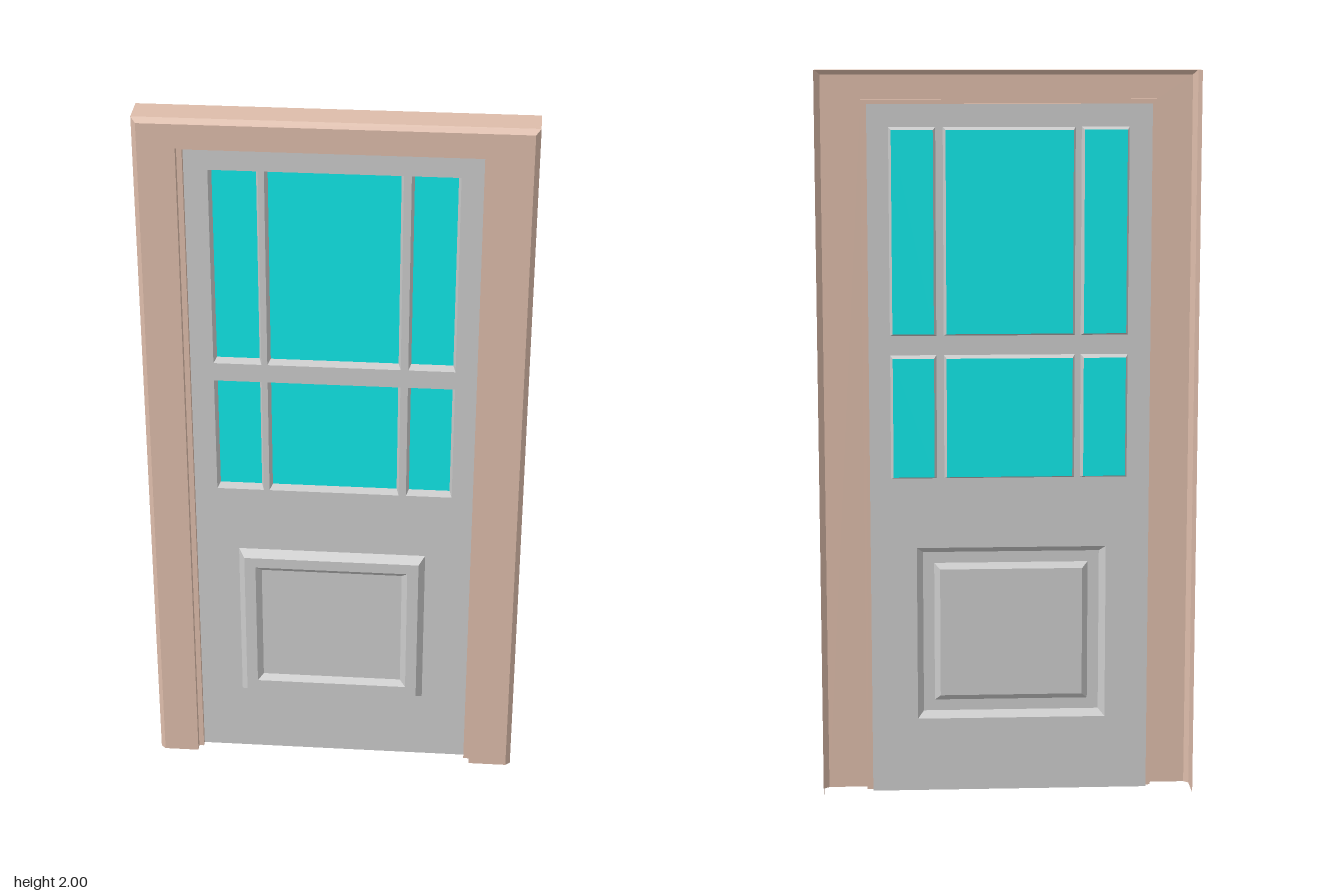
import * as THREE from 'three';

const material = (color) => new THREE.MeshStandardMaterial({ color, flatShading: true, side: THREE.DoubleSide });

// Joins successive outlines (outer to inner) with flat quads facing the front.
function loft(loops, closed) {
  const pos = [];
  for (let k = 0; k < loops.length - 1; k++) {
    const a = loops[k], b = loops[k + 1], n = a.length;
    for (let i = 0; i < (closed ? n : n - 1); i++) {
      const j = (i + 1) % n;
      for (const p of [a[i], a[j], b[j], a[i], b[j], b[i]]) pos.push(...p);
    }
  }
  const g = new THREE.BufferGeometry();
  g.setAttribute('position', new THREE.Float32BufferAttribute(pos, 3));
  g.computeVertexNormals();
  return g;
}

// Rectangle [x0, y0, x1, y1] shrunk by an inset, at depth z.
function rectLoop([x0, y0, x1, y1], inset, z) {
  const l = x0 + inset, b = y0 + inset, r = x1 - inset, t = y1 - inset;
  return [[l, b, z], [r, b, z], [r, t, z], [l, t, z]];
}

// Door-frame outline, open at the floor.
const archLoop = ([left, right, top, z]) =>
  [[right, 0, z], [right, top, z], [left, top, z], [left, 0, z]];

export function createModel() {
  const group = new THREE.Group();
  const wood = material(0xddbcaa);
  const grey = material(0xcccccc);
  const glass = material(0x10e8e8);

  const add = (name, geometry, mat) => {
    const mesh = new THREE.Mesh(geometry, mat);
    mesh.name = name;
    group.add(mesh);
    return mesh;
  };

  const doorZ = 0.01;
  const doorRect = [-0.39, 0, 0.378, 1.91];

  // Frame: outer wall, chamfer, front casing and stepped jamb
  const frameProfile = [
    [-0.515, 0.515, 2, -0.05],
    [-0.515, 0.515, 2, 0.036],
    [-0.502, 0.502, 1.987, 0.048],
    [-0.404, 0.394, 1.922, 0.048],
    [-0.404, 0.394, 1.922, 0.026],
    [-0.39, 0.378, 1.91, 0.026],
    [-0.39, 0.378, 1.91, doorZ],
  ];
  add('doorFrame', loft(frameProfile.map(archLoop), false), wood);

  // Openings in the door leaf: two rows of three panes, and one panel
  const columns = [[-0.328, -0.199], [-0.183, 0.174], [0.194, 0.32]];
  const rows = [[0.893, 1.234], [1.287, 1.849]];
  const panes = rows.flatMap(([y0, y1]) => columns.map(([x0, x1]) => [x0, y0, x1, y1]));
  const panel = [-0.272, 0.208, 0.251, 0.697];

  // Door leaf
  const toPoints = (r) => rectLoop(r, 0, 0).map(([x, y]) => new THREE.Vector2(x, y));
  const leaf = new THREE.Shape(toPoints(doorRect));
  for (const r of [...panes, panel]) leaf.holes.push(new THREE.Path(toPoints(r)));
  add('doorLeaf', new THREE.ShapeGeometry(leaf).translate(0, 0, doorZ), grey);

  // Window recesses and glass
  const glassZ = -0.014, inset = 0.007;
  for (const r of panes) {
    add('windowReveal', loft([rectLoop(r, 0, doorZ), rectLoop(r, inset, glassZ)], true), grey);
    const [x0, y0, x1, y1] = r;
    const pane = new THREE.PlaneGeometry(x1 - x0 - 2 * inset, y1 - y0 - 2 * inset);
    pane.translate((x0 + x1) / 2, (y0 + y1) / 2, glassZ);
    add('windowPane', pane, glass);
  }

  // Lower panel: raised moulding around a sunken field
  add('panelMoulding', loft([
    rectLoop(panel, 0, doorZ),
    rectLoop(panel, 0.017, 0.034),
    rectLoop(panel, 0.048, 0.034),
    rectLoop(panel, 0.064, 0.02),
  ], true), grey);
  const field = new THREE.PlaneGeometry(panel[2] - panel[0] - 0.128, panel[3] - panel[1] - 0.128);
  field.translate((panel[0] + panel[2]) / 2, (panel[1] + panel[3]) / 2, 0.02);
  add('panelField', field, grey);

  return group;
}
